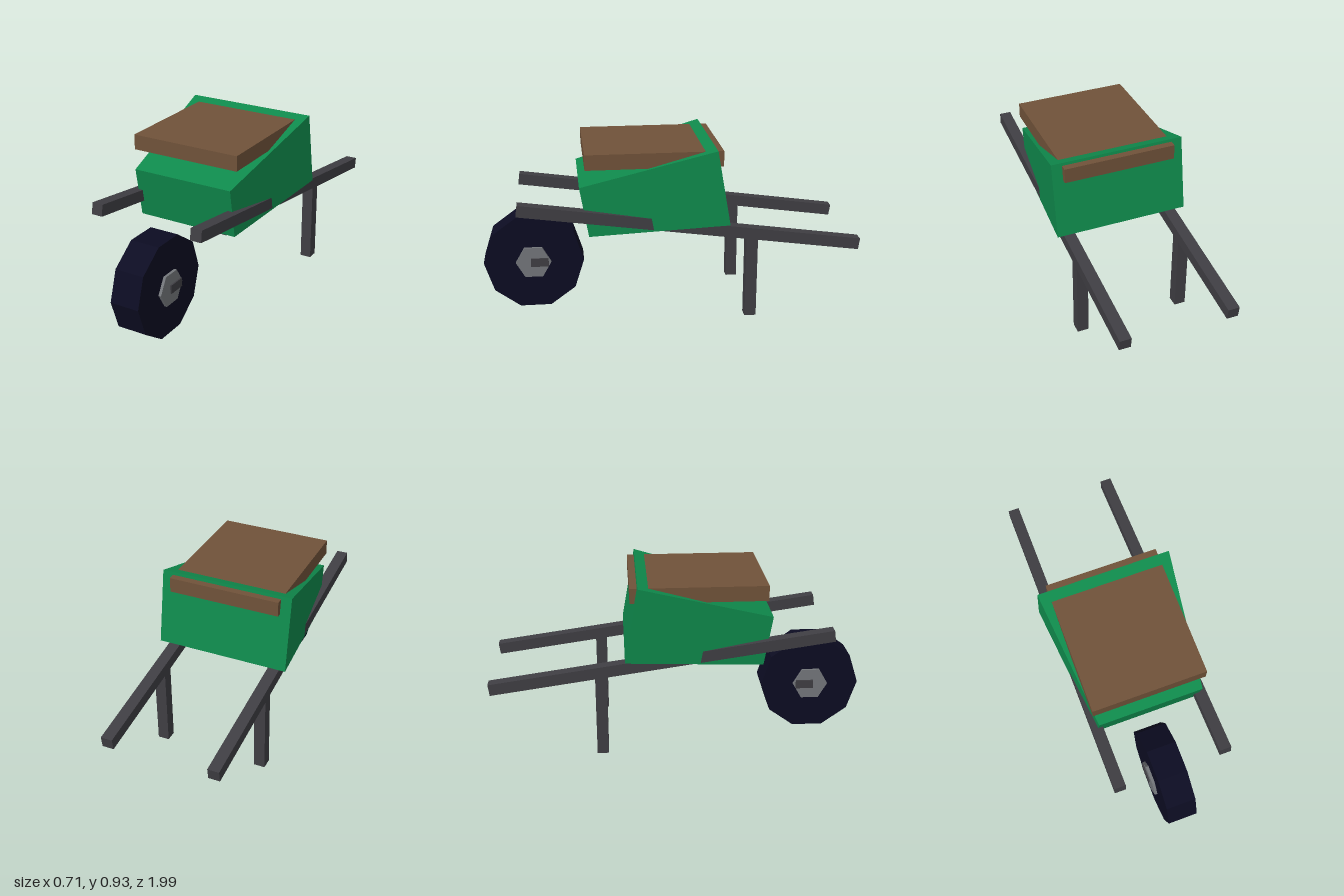
import * as THREE from 'three';

const material = (name, color) => {
  const m = new THREE.MeshStandardMaterial({ color, flatShading: true });
  m.name = name;
  return m;
};

export function createModel() {
  const green = material('green paint', 0x0f8a4c);
  const wood = material('brown wood', 0x705239);
  const iron = material('dark iron', 0x3f3e43);
  const rubber = material('black rubber', 0x0c0c22);
  const steel = material('grey steel', 0x73767a);

  const model = new THREE.Group();
  model.name = 'wheelbarrow';

  const add = (name, geometry, mat, x, y, z) => {
    const mesh = new THREE.Mesh(geometry, mat);
    mesh.name = name;
    mesh.position.set(x, y, z);
    model.add(mesh);
    return mesh;
  };
  const box = (name, w, h, d, mat, x, y, z) =>
    add(name, new THREE.BoxGeometry(w, h, d), mat, x, y, z);
  const disc = (name, radius, width, sides, mat, x, y, z) =>
    add(name, new THREE.CylinderGeometry(radius, radius, width, sides).rotateZ(Math.PI / 2), mat, x, y, z);

  // Tub: a box whose front is narrower and lower than its back
  const tub = new THREE.BoxGeometry(2, 2, 2);
  const p = tub.attributes.position;
  for (let i = 0; i < p.count; i++) {
    const front = p.getZ(i) > 0;
    const top = p.getY(i) > 0;
    const [y, z] = front
      ? (top ? [0.737, 0.485] : [0.472, 0.44])
      : (top ? [0.928, -0.215] : [0.532, -0.285]);
    p.setXYZ(i, p.getX(i) * (front ? 0.28 : 0.357), y, z);
  }
  const flatTub = tub.toNonIndexed();
  flatTub.computeVertexNormals();
  add('tub', flatTub, green, 0, 0, 0);

  // Wooden board running through the top of the tub
  box('board', 0.6, 0.08, 0.71, wood, 0, 0.873, 0.1);

  // Sloping handle rails and the legs below them
  for (const [label, side] of [['left', 1], ['right', -1]]) {
    const rail = box(label + 'Rail', 0.061, 0.061, 1.812, iron, side * 0.285, 0.51, -0.092);
    rail.rotation.x = -0.14;
    box(label + 'Leg', 0.061, 0.46, 0.061, iron, side * 0.285, 0.23, -0.41);
  }

  // Ten-sided wheel, six-sided hub and axle bar
  disc('tyre', 0.268, 0.16, 10, rubber, 0, 0.271, 0.732);
  disc('hub', 0.095, 0.19, 6, steel, 0, 0.271, 0.735);
  box('axle', 0.206, 0.046, 0.095, iron, 0, 0.271, 0.702);

  return model;
}
